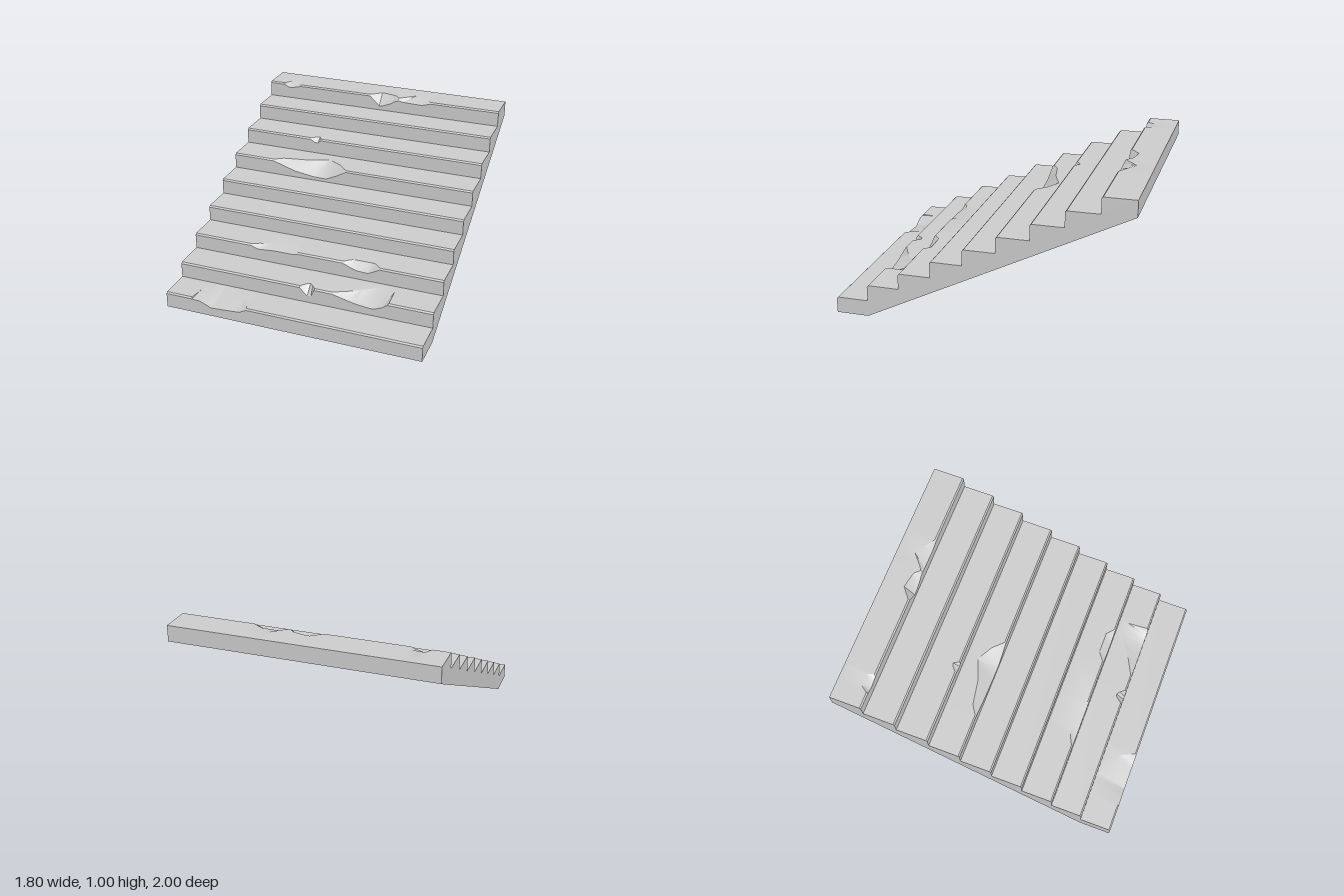
import * as THREE from 'three';
import { toCreasedNormals } from 'three/addons/utils/BufferGeometryUtils.js';

const STEPS = 9, HALF = 0.9, RUN = 2 / STEPS, RISE = 1 / STEPS, BEVEL = 0.01;

// Broken nosings per step: [x, depth into the tread, drop down the riser]
const CHIPS = {
  0: [[-0.71, 0.01, 0.01], [-0.695, 0.11, 0.012], [-0.65, 0.215, 0.014], [-0.61, 0.217, 0.03], [-0.57, 0.217, 0.05],
    [-0.54, 0.215, 0.048], [-0.41, 0.12, 0.04], [-0.36, 0.11, 0.036], [-0.31, 0.01, 0.01]],
  1: [[-0.02, 0.01, 0.01], [0.02, 0.055, 0.05], [0.035, 0.06, 0.062], [0.06, 0.04, 0.06], [0.085, 0.01, 0.01],
    [0.21, 0.01, 0.01], [0.32, 0.065, 0.037], [0.38, 0.1, 0.05], [0.47, 0.165, 0.06], [0.5, 0.163, 0.06],
    [0.56, 0.16, 0.035], [0.59, 0.155, 0.012], [0.6, 0.01, 0.01]],
  2: [[-0.47, 0.01, 0.01], [-0.42, 0.035, 0.028], [-0.35, 0.055, 0.023], [-0.3, 0.053, 0.018], [-0.17, 0.045, 0.018],
    [-0.13, 0.01, 0.01], [0.2, 0.01, 0.01], [0.26, 0.055, 0.035], [0.3, 0.055, 0.048], [0.38, 0.055, 0.053],
    [0.41, 0.055, 0.038], [0.46, 0.01, 0.01]],
  5: [[-0.59, 0.01, 0.01], [-0.53, 0.05, 0.03], [-0.42, 0.07, 0.065], [-0.36, 0.08, 0.073], [-0.28, 0.11, 0.085],
    [-0.21, 0.14, 0.087], [-0.18, 0.125, 0.087], [-0.1, 0.08, 0.05], [-0.03, 0.01, 0.01]],
  6: [[-0.385, 0.01, 0.01], [-0.355, 0.035, 0.03], [-0.33, 0.045, 0.03], [-0.31, 0.01, 0.01]],
  8: [[-0.785, 0.01, 0.01], [-0.75, 0.06, 0.028], [-0.73, 0.06, 0.03], [-0.67, 0.055, 0.015], [-0.65, 0.01, 0.01],
    [-0.085, 0.01, 0.01], [-0.01, 0.07, 0.08], [0.02, 0.067, 0.075], [0.08, 0.055, 0.05], [0.11, 0.045, 0.03],
    [0.14, 0.012, 0.018], [0.17, 0.03, 0.025], [0.25, 0.1, 0.028], [0.32, 0.055, 0.03], [0.39, 0.01, 0.01]],
};

// Skin joining cross-sections; each section is { x, pts: [[z, y], ...] }
function loft(sections) {
  const pos = [];
  const put = (s, j) => pos.push(s.x, s.pts[j][1], s.pts[j][0]);
  for (let i = 0; i < sections.length - 1; i++) {
    const l = sections[i], r = sections[i + 1];
    for (let j = 0; j < l.pts.length - 1; j++) {
      put(l, j); put(r, j); put(r, j + 1);
      put(l, j); put(r, j + 1); put(l, j + 1);
    }
  }
  const geo = new THREE.BufferGeometry();
  geo.setAttribute('position', new THREE.Float32BufferAttribute(pos, 3));
  return toCreasedNormals(geo, 0.5);
}

// Riser, bevelled or chipped nosing, and tread of one step
function stepProfile(i, depth, drop) {
  const front = 1 - i * RUN, top = (i + 1) * RISE;
  return [[front, i * RISE], [front, top - drop], [front - depth, top], [front - RUN, top]];
}

export function createModel() {
  const group = new THREE.Group();
  const material = new THREE.MeshStandardMaterial({ color: 0xcccccc });
  const add = (name, geo) => {
    const mesh = new THREE.Mesh(geo, material);
    mesh.name = name;
    group.add(mesh);
  };

  // Steps with their broken edges
  const outline = [];
  for (let i = 0; i < STEPS; i++) {
    const rows = [[-HALF, BEVEL, BEVEL], ...(CHIPS[i] || []), [HALF, BEVEL, BEVEL]];
    add('step' + (i + 1), loft(rows.map(([x, d, h]) => ({ x, pts: stepProfile(i, d, h) }))));
    outline.push(...stepProfile(i, BEVEL, BEVEL).slice(0, 3));
  }

  // Back edge, sloping underside and foot
  const under = [[-1, 1], [-1, 1 - RISE], [1 - RUN, 0], [1, 0]];
  add('underside', loft([-HALF, HALF].map((x) => ({ x, pts: under }))));

  // Flat stepped sides
  outline.push(...under.slice(0, 3));
  for (const side of [1, -1]) {
    const shape = new THREE.Shape(outline.map(([z, y]) => new THREE.Vector2(-side * z, y)));
    const geo = new THREE.ShapeGeometry(shape);
    geo.rotateY(side * Math.PI / 2).translate(side * HALF, 0, 0);
    add(side > 0 ? 'leftSide' : 'rightSide', geo);
  }
  return group;
}
